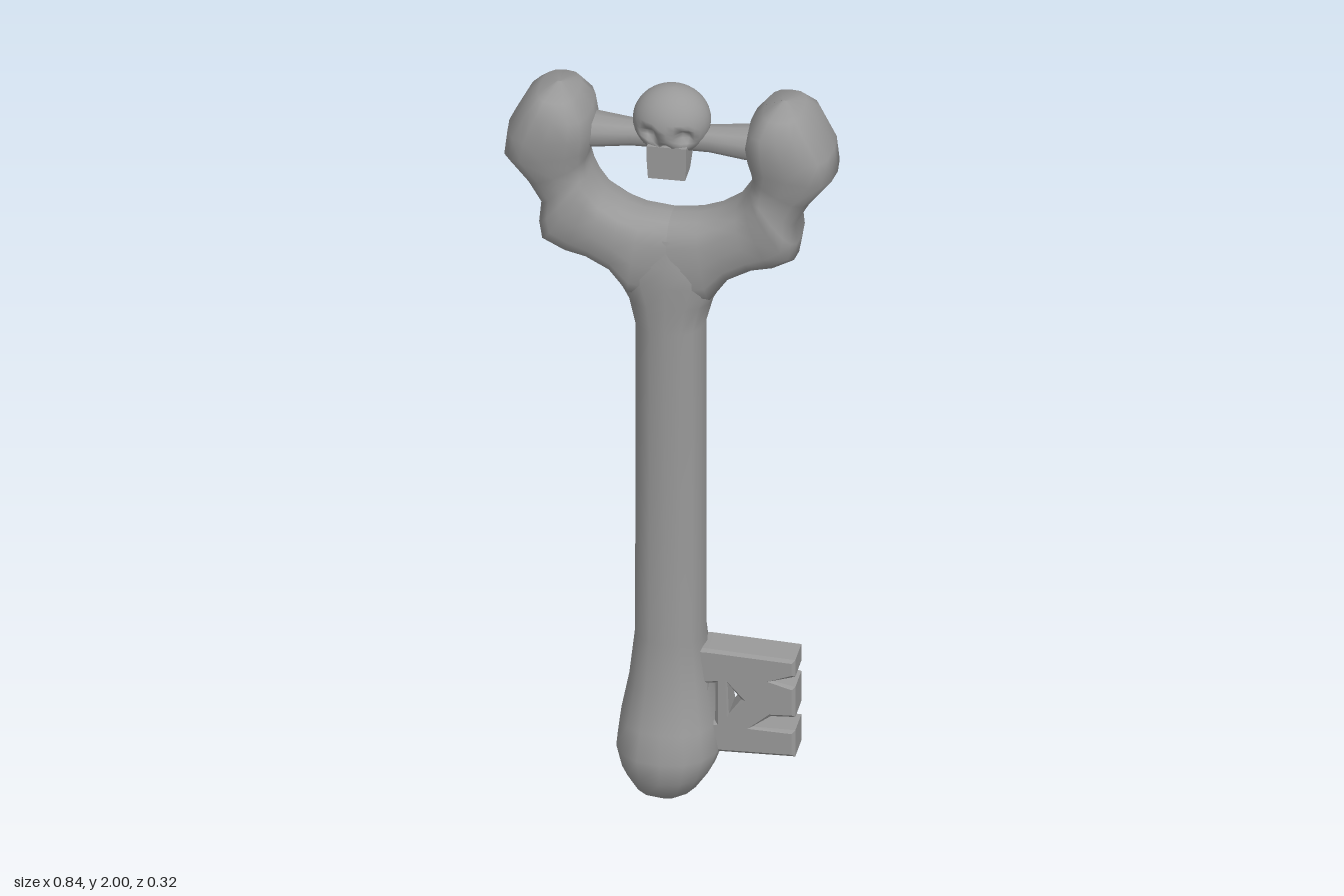
import * as THREE from 'three';

const bone = new THREE.MeshStandardMaterial({ color: 0x999999 });
bone.name = 'grey bone';

function part(name, geometry) {
  const mesh = new THREE.Mesh(geometry, bone);
  mesh.name = name;
  return mesh;
}

// Loft through rings [ax, ay, bx, by, depth]: a and b are opposite silhouette points,
// depth is the half thickness in z.
function loft(rings, mirror = 1, power = 0.85, sides = 16) {
  const pos = [], index = [];
  const soft = v => Math.sign(v) * Math.pow(Math.abs(v), power);
  rings.forEach(([ax, ay, bx, by, d], k) => {
    for (let i = 0; i < sides; i++) {
      const t = (i / sides) * Math.PI * 2;
      const c = soft(Math.cos(t)) / 2, s = soft(Math.sin(t));
      pos.push(mirror * ((ax + bx) / 2 + (ax - bx) * c), (ay + by) / 2 + (ay - by) * c, d * s);
      if (k === 0) continue;
      const j = (i + 1) % sides, p = (k - 1) * sides, q = k * sides;
      if (mirror > 0) index.push(p + i, q + i, p + j, p + j, q + i, q + j);
      else index.push(p + i, p + j, q + i, p + j, q + j, q + i);
    }
  });
  const g = new THREE.BufferGeometry();
  g.setAttribute('position', new THREE.Float32BufferAttribute(pos, 3));
  g.setIndex(index);
  g.computeVertexNormals();
  return g;
}

function makeShaft() {
  // y, left edge, right edge, half depth
  const profile = [
    [0, -0.01, -0.01, 0], [0.008, 0.035, -0.045, 0.07], [0.04, 0.075, -0.09, 0.125],
    [0.09, 0.11, -0.122, 0.152], [0.15, 0.132, -0.137, 0.16], [0.22, 0.12, -0.128, 0.135],
    [0.32, 0.102, -0.108, 0.108], [0.46, 0.086, -0.092, 0.094], [0.9, 0.086, -0.091, 0.091],
    [1.34, 0.086, -0.091, 0.09], [1.41, 0.105, -0.108, 0.092], [1.47, 0.14, -0.142, 0.094],
    [1.53, 0.16, -0.16, 0.094], [1.6, 0.08, -0.08, 0.08],
  ];
  return part('shaft', loft(profile.map(([y, r, l, d]) => [r, y, l, y, d])));
}

// Curved arm with a low knuckle and a large rounded knob
function makeArm(side) {
  const rings = [
    [0, 1.4, 0, 1.643, 0.09], [0.105, 1.42, 0.07, 1.65, 0.092],
    [0.15, 1.485, 0.12, 1.665, 0.096], [0.21, 1.518, 0.168, 1.695, 0.098],
    [0.265, 1.53, 0.19, 1.73, 0.1], [0.322, 1.562, 0.203, 1.755, 0.11],
    [0.33, 1.61, 0.207, 1.77, 0.108], [0.325, 1.665, 0.21, 1.785, 0.1],
    [0.36, 1.725, 0.205, 1.805, 0.105], [0.42, 1.8, 0.196, 1.835, 0.12],
    [0.412, 1.865, 0.19, 1.875, 0.125], [0.368, 1.945, 0.2, 1.925, 0.124],
    [0.335, 1.972, 0.235, 1.97, 0.09], [0.29, 1.988, 0.28, 1.988, 0],
  ];
  return part(side > 0 ? 'leftArm' : 'rightArm', loft(rings, side, 0.72));
}

// Notched key bit with two openings
function makeBit() {
  const path = (list, Type) => new Type(list.map(([x, y]) => new THREE.Vector2(x, y)));
  const shape = path([
    [0.04, 0.15], [0.14, 0.15], [0.312, 0.153], [0.312, 0.212], [0.2, 0.216], [0.255, 0.262],
    [0.312, 0.265], [0.312, 0.337], [0.25, 0.355], [0.312, 0.378], [0.312, 0.412],
    [0.1, 0.423], [0.04, 0.423],
  ], THREE.Shape);
  shape.holes.push(
    path([[0.09, 0.215], [0.09, 0.34], [0.125, 0.345], [0.125, 0.22]], THREE.Path),
    path([[0.148, 0.24], [0.144, 0.35], [0.194, 0.295]], THREE.Path),
  );
  const g = new THREE.ExtrudeGeometry(shape, {
    depth: 0.084, bevelEnabled: true, bevelThickness: 0.008, bevelSize: 0.008, bevelSegments: 1,
  });
  g.translate(0, 0, -0.042);
  return part('keyBit', g);
}

function makeSkull() {
  const skull = new THREE.Group();
  skull.name = 'skull';

  // Cranium: an ellipsoid pressed in at the eye sockets and the nose
  const g = new THREE.SphereGeometry(1, 32, 24);
  g.scale(0.098, 0.09, 0.09);
  g.translate(0, 1.91, 0);
  const p = g.attributes.position;
  const dents = [[-0.042, 1.895, 0.024], [0.042, 1.895, 0.024], [0, 1.863, 0.013]];
  for (let i = 0; i < p.count; i++) {
    if (p.getZ(i) < 0.02) continue;
    for (const [x, y, r] of dents) {
      const d = Math.hypot(p.getX(i) - x, p.getY(i) - y) / r;
      if (d < 1) p.setZ(i, p.getZ(i) - 0.035 * (1 - d * d));
    }
  }
  g.computeVertexNormals();
  skull.add(part('cranium', g));

  // Jaw, tapering towards the chin
  const jaw = new THREE.BoxGeometry(0.1, 0.09, 0.1, 2, 2, 2);
  const q = jaw.attributes.position;
  for (let i = 0; i < q.count; i++) {
    if (q.getY(i) < -0.01) {
      q.setX(i, q.getX(i) * 0.94);
      if (q.getZ(i) < 0) q.setZ(i, q.getZ(i) + 0.03);
    }
  }
  jaw.computeVertexNormals();
  jaw.translate(0, 1.822, 0.027);
  skull.add(part('jaw', jaw));
  return skull;
}

// Crossbar half, flaring where it enters the knob
function makeCrossbar(side) {
  const rings = [
    [0, 1.832, 0, 1.893, 0.038], [0.1, 1.832, 0.1, 1.893, 0.04],
    [0.19, 1.824, 0.19, 1.9, 0.056], [0.26, 1.822, 0.26, 1.902, 0.06],
  ];
  return part(side > 0 ? 'leftCrossbar' : 'rightCrossbar', loft(rings, side, 0.8, 10));
}

export function createModel() {
  const model = new THREE.Group();
  model.name = 'boneKey';
  model.add(makeShaft(), makeBit(), makeSkull());
  for (const side of [1, -1]) model.add(makeArm(side), makeCrossbar(side));
  return model;
}
